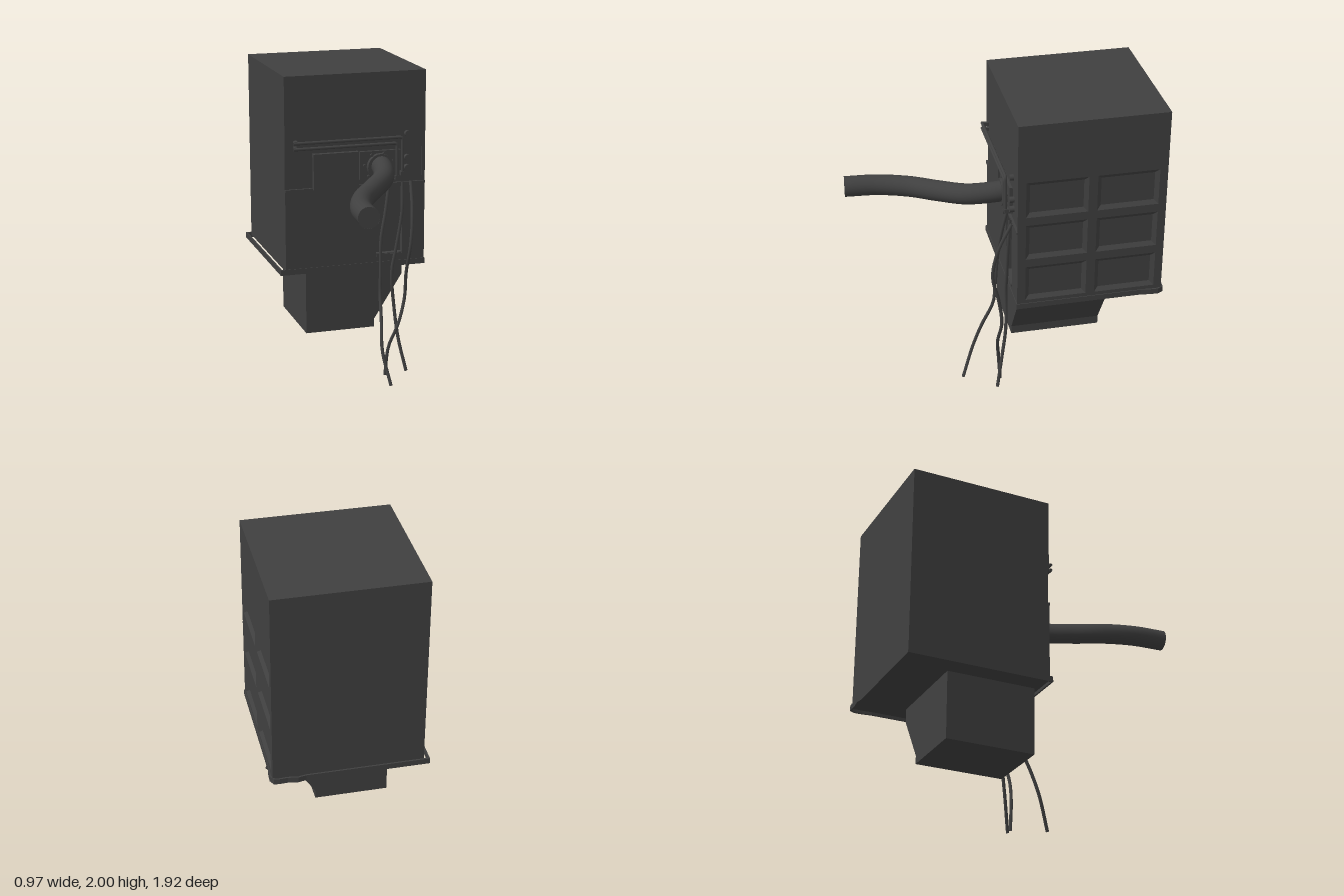
import * as THREE from 'three';

const mat = new THREE.MeshStandardMaterial({ color: 0x404040, side: THREE.DoubleSide });
const V = (a) => new THREE.Vector3(...a);

export function createModel() {
  const root = new THREE.Group();
  const add = (name, geo, parent = root) => {
    const m = new THREE.Mesh(geo, mat);
    m.name = name;
    parent.add(m);
    return m;
  };
  // box from minimum and maximum corners
  const box = (name, a, b, parent) => {
    const m = add(name, new THREE.BoxGeometry(b[0] - a[0], b[1] - a[1], b[2] - a[2]), parent);
    m.position.set((a[0] + b[0]) / 2, (a[1] + b[1]) / 2, (a[2] + b[2]) / 2);
    return m;
  };
  const tube = (name, pts, r, sides = 8, seg = 30, parent = root) =>
    add(name, new THREE.TubeGeometry(new THREE.CatmullRomCurve3(pts.map(V)), seg, r, sides), parent);
  const poly = (pts, C = THREE.Shape) => new C(pts.map((p) => new THREE.Vector2(...p)));
  const rect = (x0, y0, x1, y1, C) => poly([[x0, y0], [x1, y0], [x1, y1], [x0, y1]], C);
  const extrude = (shape, depth) => new THREE.ExtrudeGeometry(shape, { depth, bevelEnabled: false });

  // cabinet core and front panels, leaving a shallow band across the front
  const cabinet = new THREE.Group();
  cabinet.name = 'cabinet';
  root.add(cabinet);
  box('cabinetCore', [-0.455, 0.75, -0.93], [0.45, 2, -0.04], cabinet);
  box('upperFrontPanel', [-0.455, 1.51, -0.04], [0.45, 2, -0.004], cabinet);
  box('frontBand', [-0.455, 1.28, -0.04], [0.45, 1.51, -0.012], cabinet);
  const lower = rect(-0.455, 0.75, 0.45, 1.28);
  lower.holes.push(rect(0.145, 0.82, 0.32, 1.255, THREE.Path));
  add('lowerFrontPanel', extrude(lower, 0.036), cabinet).position.z = -0.04;
  box('frontLedge', [-0.455, 1.27, -0.02], [0.47, 1.285, 0.003], cabinet);
  box('recessRail', [0.145, 0.8, -0.02], [0.32, 0.815, 0.002], cabinet);

  // side panel with six bevelled recesses (u runs towards the back)
  const side = rect(0.004, 0.75, 0.93, 2);
  const slope = [];
  for (const u of [0.055, 0.495]) {
    for (const y of [0.79, 1.085, 1.38]) {
      const w = 0.385, h = 0.24, d = 0.026;
      side.holes.push(rect(u, y, u + w, y + h, THREE.Path));
      const outer = [[u, y], [u + w, y], [u + w, y + h], [u, y + h]].map(([a, b]) => [0.47, b, -a]);
      const inner = [[u + d, y + d], [u + w - d, y + d], [u + w - d, y + h - d], [u + d, y + h - d]]
        .map(([a, b]) => [0.451, b, -a]);
      for (let i = 0; i < 4; i++) {
        const j = (i + 1) % 4;
        slope.push(outer[i], outer[j], inner[j], outer[i], inner[j], inner[i]);
      }
    }
  }
  const sidePanel = add('sidePanel', extrude(side, 0.02), cabinet);
  sidePanel.rotation.y = Math.PI / 2;
  sidePanel.position.x = 0.45;
  const bevels = new THREE.BufferGeometry();
  bevels.setAttribute('position', new THREE.Float32BufferAttribute(slope.flat(), 3));
  bevels.computeVertexNormals();
  add('recessBevels', bevels, cabinet);

  // thin rim around the base, dented at the rear corner (points are x, -z)
  const rim = poly([[-0.49, 0], [0.475, 0], [0.475, 0.8], [0.483, 0.86], [0.484, 0.91], [0.465, 0.945],
    [0.43, 0.948], [0.38, 0.945], [0.32, 0.955], [0.27, 0.945], [-0.49, 0.945]]);
  rim.holes.push(poly([[-0.48, 0.01], [0.465, 0.01], [0.465, 0.8], [0.473, 0.86], [0.474, 0.905],
    [0.458, 0.935], [0.43, 0.938], [0.38, 0.935], [0.32, 0.945], [0.27, 0.935], [-0.48, 0.935]], THREE.Path));
  const rimMesh = add('baseRim', extrude(rim, 0.036), root);
  rimMesh.rotation.x = -Math.PI / 2;
  rimMesh.position.y = 0.73;

  // chute below with a slanted side
  const chute = poly([[-0.315, 0.315], [0.145, 0.315], [0.145, 0.37], [0.33, 0.66], [0.33, 0.76], [-0.315, 0.76]]);
  add('chute', extrude(chute, 0.58)).position.z = -0.62;

  // front fittings
  box('coverPlate', [-0.275, 1.275, -0.02], [0.02, 1.505, 0.02]);
  box('hosePlate', [0.03, 1.32, -0.02], [0.3, 1.5, 0.01]);
  const disc = (name, x, y, z, r, depth, sides) => {
    const m = add(name, new THREE.CylinderGeometry(r, r, depth, sides));
    m.rotation.x = Math.PI / 2;
    m.position.set(x, y, z);
    return m;
  };
  disc('hoseFlange', 0.16, 1.4, 0.015, 0.085, 0.05, 24);
  for (let i = 0; i < 7; i++) {
    const a = (i + 0.35) * Math.PI * 2 / 7;
    disc('flangeBolt', 0.155 + 0.095 * Math.cos(a), 1.4 + 0.088 * Math.sin(a), 0.012, 0.011, 0.026, 6);
  }
  for (const y of [1.6, 1.445, 1.38]) disc('sideKnob', 0.345, y, 0.006, 0.019, 0.03, 10);

  // large hose
  tube('hose', [[0.165, 1.41, 0], [0.155, 1.4, 0.1], [0.11, 1.38, 0.24], [-0.01, 1.355, 0.4],
    [-0.125, 1.34, 0.56], [-0.195, 1.335, 0.75], [-0.215, 1.335, 0.955]], 0.065, 20, 40);
  const cap = add('hoseEnd', new THREE.CircleGeometry(0.065, 20));
  cap.position.set(-0.215, 1.335, 0.954);
  cap.rotation.y = -0.08;

  // two bent pipes along the front
  for (const [x, y, end] of [[0.305, 1.585, 1.345], [0.268, 1.548, 1.32]]) {
    const path = new THREE.CurvePath();
    const p = [[-0.41, y, 0.035], [x - 0.02, y, 0.035], [x, y, 0.035], [x, y - 0.02, 0.035], [x, end, 0.035]].map(V);
    path.add(new THREE.LineCurve3(p[0], p[1]));
    path.add(new THREE.QuadraticBezierCurve3(p[1], p[2], p[3]));
    path.add(new THREE.LineCurve3(p[3], p[4]));
    add('frontPipe', new THREE.TubeGeometry(path, 80, 0.01, 8));
    box('pipeFoot', [x - 0.012, end - 0.008, -0.01], [x + 0.012, end + 0.016, 0.045]);
    box('pipeBracket', [-0.4, y - 0.012, -0.01], [-0.38, y + 0.012, 0.03]);
  }

  // hanging cables
  const cables = [
    [[0.225, 1.29, 0.01], [0.19, 1.1, 0.04], [0.157, 0.93, 0.055], [0.15, 0.7, 0.07], [0.145, 0.58, 0.08],
      [0.13, 0.4, 0.155], [0.118, 0.24, 0.21], [0.153, 0.02, 0.285]],
    [[0.315, 1.29, 0.01], [0.31, 1.1, 0.02], [0.27, 0.85, 0.02], [0.243, 0.7, 0.02], [0.26, 0.45, 0.022],
      [0.28, 0.25, 0.05], [0.322, 0.035, 0.09]],
    [[0.37, 1.29, 0.01], [0.355, 1.1, 0.09], [0.335, 0.9, 0.122], [0.32, 0.7, 0.08], [0.318, 0.53, 0.06],
      [0.27, 0.36, 0.078], [0.21, 0.2, 0.06], [0.192, 0.005, 0.045]],
  ];
  for (const c of cables) tube('cable', c, 0.011);

  return root;
}
